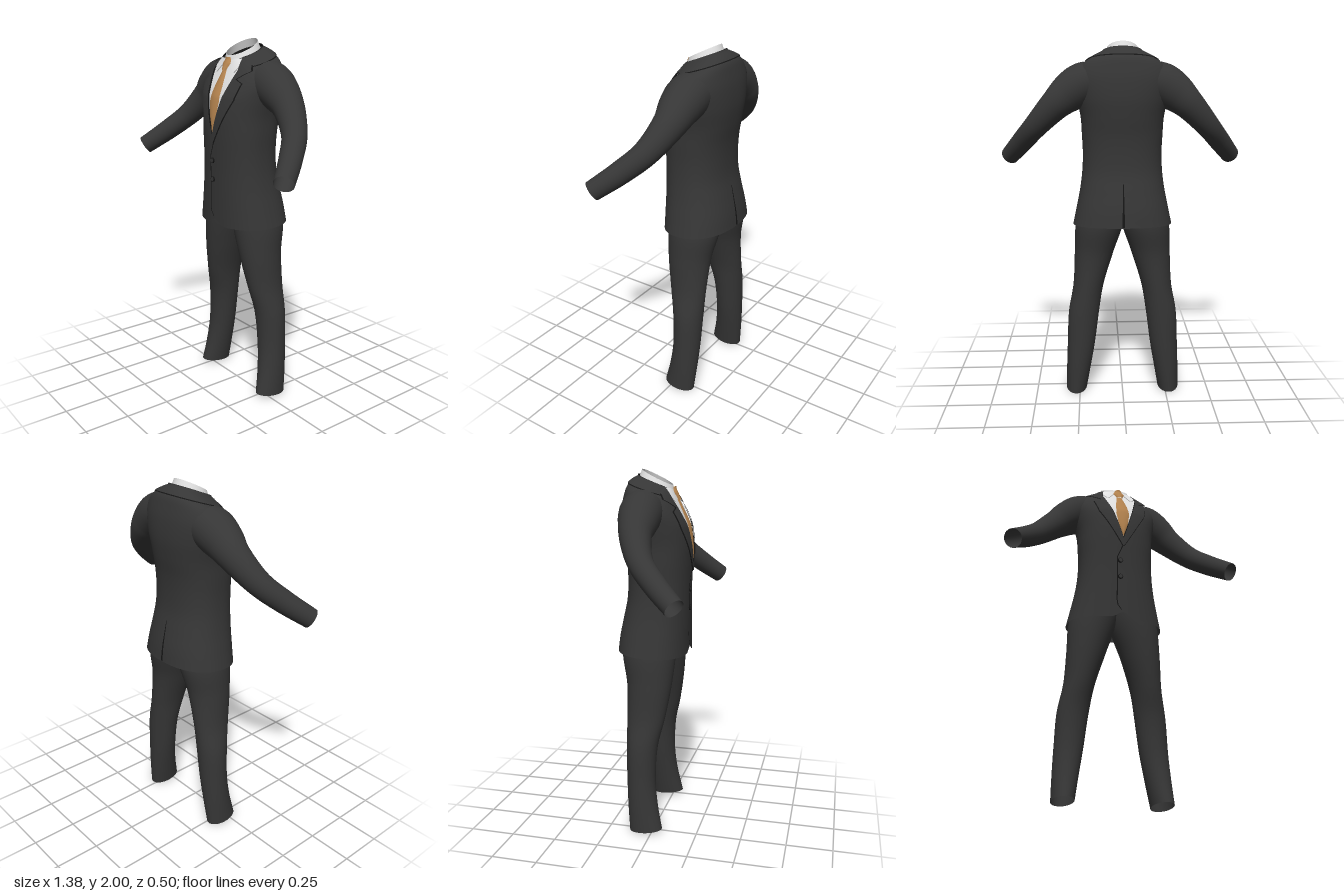
import * as THREE from 'three';
import { mergeVertices } from 'three/addons/utils/BufferGeometryUtils.js';

const paint = (name, color) => {
  const m = new THREE.MeshStandardMaterial({ color, side: THREE.DoubleSide });
  m.name = name;
  return m;
};

// Smooth interpolation of rows [key, ...values], keys ascending
function sample(rows, key) {
  const n = rows.length - 1;
  const k = THREE.MathUtils.clamp(key, rows[0][0], rows[n][0]);
  let i = 0;
  while (i < n - 1 && k > rows[i + 1][0]) i++;
  const a = rows[i], b = rows[i + 1], h = b[0] - a[0], t = (k - a[0]) / h;
  const p = rows[Math.max(i - 1, 0)], q = rows[Math.min(i + 2, n)];
  return a.slice(1).map((va, c) => {
    const j = c + 1, vb = b[j];
    const ma = (vb - p[j]) / (b[0] - p[0]) * h, mb = (q[j] - va) / (q[0] - a[0]) * h;
    const t2 = t * t, t3 = t2 * t;
    return (2 * t3 - 3 * t2 + 1) * va + (t3 - 2 * t2 + t) * ma + (3 * t2 - 2 * t3) * vb + (t3 - t2) * mb;
  });
}

// Surface from fn(u, v) -> [x, y, z]
function grid(fn, nu, nv) {
  const g = new THREE.PlaneGeometry(1, 1, nu, nv);
  const p = g.attributes.position;
  for (let i = 0; i < p.count; i++) p.setXYZ(i, ...fn(p.getX(i) + 0.5, p.getY(i) + 0.5));
  g.deleteAttribute('uv');
  g.deleteAttribute('normal');
  const m = mergeVertices(g, 1e-5);
  m.computeVertexNormals();
  return m;
}

// Jacket body sections: height, half width, front z, back z
const BODY = [
  [1.005, 0.275, 0.15, -0.245], [1.1, 0.255, 0.15, -0.235], [1.2, 0.235, 0.15, -0.215],
  [1.3, 0.222, 0.15, -0.195], [1.4, 0.218, 0.152, -0.19], [1.5, 0.222, 0.154, -0.195],
  [1.6, 0.228, 0.152, -0.21], [1.7, 0.248, 0.137, -0.22], [1.78, 0.262, 0.112, -0.215],
  [1.84, 0.245, 0.088, -0.2], [1.88, 0.205, 0.07, -0.185], [1.91, 0.15, 0.056, -0.157],
  [1.935, 0.1, 0.045, -0.125],
];
const POWER = 2.3;
const clamp01 = (v) => Math.min(1, Math.max(0, v));
// Forward lean of the neckline and hem
const lean = (y) => 0.4 * clamp01((y - 1.7) / 0.235) + 0.06 * clamp01((1.1 - y) / 0.1);
const bend = (v) => Math.sign(v) * Math.abs(v) ** (2 / POWER);

function bodyPoint(angle, y, off = 0) {
  const [w, f, b] = sample(BODY, y);
  const x = (w + off) * bend(Math.sin(angle));
  const z = (f + b) / 2 + ((f - b) / 2 + off) * bend(Math.cos(angle));
  const cut = z > 0 ? 0.035 * Math.exp(-((x / 0.04) ** 2)) * clamp01((1.1 - y) / 0.095) : 0;
  return [x, y - lean(y) * (z + 0.06) + cut, z];
}

// z of the jacket at (x, y); side 1 is the front, -1 the back
function bodyZ(x, y, side = 1) {
  let y0 = y, z = 0;
  for (let i = 0; i < 8; i++) {
    const [w, f, b] = sample(BODY, y0);
    const s = (1 - Math.min(1, Math.abs(x / w)) ** POWER) ** (1 / POWER);
    z = (f + b) / 2 + side * s * (f - b) / 2;
    y0 = y + lean(y0) * (z + 0.06);
  }
  return z;
}

// Thin panel laid on the jacket: rows of [y, x0, x1], top to bottom
function panel(rows, off, bulge = 0, side = 1) {
  const steps = 8, n = (rows.length - 1) * steps;
  return grid((u, v) => {
    const t = Math.round((1 - v) * n) / steps;
    const i = Math.min(Math.floor(t), rows.length - 2);
    const [y, a, b] = rows[i].map((r, c) => THREE.MathUtils.lerp(r, rows[i + 1][c], t - i));
    const x = a + (b - a) * u;
    return [x, y, bodyZ(x, y, side) + side * (off + bulge * (1 - (2 * u - 1) ** 2))];
  }, 12, n);
}
const mirrorRows = (rows) => rows.map(([y, a, b]) => [y, -b, -a]);
const even = (rows) => rows.map(([y, w]) => [y, -w, w]);
const widen = (rows, d) => rows.map(([y, a, b]) => [y, a - d, b + d]);

export function createModel() {
  const cloth = paint('charcoal cloth', 0x363636);
  const seam = paint('black seam', 0x151515);
  const white = paint('white shirt', 0xe2e2e2);
  const grey = paint('grey collar edge', 0x9a9a9a);
  const tan = paint('tan tie', 0xb5844f);
  const model = new THREE.Group();
  model.name = 'suit';
  const add = (name, geometry, material) => {
    const m = new THREE.Mesh(geometry, material);
    m.name = name;
    model.add(m);
    return m;
  };

  // Jacket body and the collar around the back of the neck
  add('jacketBody', grid((u, v) => bodyPoint(u * Math.PI * 2, 1.005 + v * 0.93), 112, 72), cloth);
  const collarBand = (low, off) => grid((u, v) =>
    bodyPoint(0.85 + u * (Math.PI * 2 - 1.7), low + v * (1.94 - low), off + 0.004 * v), 60, 8);
  add('jacketCollarEdge', collarBand(1.886, 0.005), seam);
  add('jacketCollar', collarBand(1.891, 0.009), cloth);

  // Sleeves: tubes with a changing radius
  const arm = [
    [0.17, 1.785, -0.07, 0.112], [0.225, 1.765, -0.068, 0.115], [0.29, 1.725, -0.065, 0.104],
    [0.36, 1.665, -0.058, 0.084], [0.475, 1.545, 0, 0.066], [0.56, 1.45, 0.095, 0.06],
    [0.645, 1.355, 0.21, 0.053],
  ];
  for (const s of [1, -1]) {
    const curve = new THREE.CatmullRomCurve3(arm.map(([x, y, z]) => new THREE.Vector3(s * x, y, z)));
    const N = 48, M = 28;
    const tube = new THREE.TubeGeometry(curve, N, 1, M);
    const p = tube.attributes.position, v = new THREE.Vector3();
    const radii = arm.map((a, i) => [i / (arm.length - 1), a[3]]);
    for (let i = 0; i < p.count; i++) {
      const u = Math.floor(i / (M + 1)) / N;
      const c = curve.getPointAt(u);
      const [r] = sample(radii, curve.getUtoTmapping(u));
      v.fromBufferAttribute(p, i).sub(c).multiplyScalar(r).add(c);
      p.setXYZ(i, v.x, v.y, v.z);
    }
    add(s > 0 ? 'leftSleeve' : 'rightSleeve', tube, cloth);
  }

  // Trouser legs: y, inner x, outer x, front z, back z
  const leg = [
    [0, 0.21, 0.33, 0.055, -0.13], [0.15, 0.185, 0.325, 0.026, -0.142], [0.3, 0.16, 0.318, 0.01, -0.15],
    [0.49, 0.135, 0.308, 0.018, -0.157], [0.65, 0.108, 0.28, 0.053, -0.16], [0.84, 0.05, 0.27, 0.083, -0.168],
    [1.03, -0.01, 0.258, 0.098, -0.2], [1.2, -0.01, 0.2, 0.09, -0.16],
  ];
  for (const s of [1, -1]) {
    add(s > 0 ? 'leftTrouserLeg' : 'rightTrouserLeg', grid((u, v) => {
      const y = v * 1.2, a = s * u * Math.PI * 2;
      const [x0, x1, f, b] = sample(leg, y);
      const x = (x0 + x1) / 2 + (x1 - x0) / 2 * Math.sin(a);
      const z = (f + b) / 2 + (f - b) / 2 * Math.cos(a);
      return [s * x, y + 0.1 * (z + 0.13) * clamp01(1 - y / 0.2), z];
    }, 40, 48), cloth);
  }

  // Shirt front and standing collar
  add('shirtFront', panel([[1.897, -0.09, 0.09], [1.84, -0.105, 0.105], [1.5, -0.001, 0.001]], 0.004), white);
  add('shirtCollar', grid((u, v) => {
    const a = u * Math.PI * 2, r = 0.1 - 0.016 * v;
    const z = -0.035 + r * Math.cos(a);
    return [r * Math.sin(a), 1.905 + 0.05 * v - 0.5 * (z + 0.035), z];
  }, 48, 4), white);

  // Shirt collar points and lapels, mirrored
  const point = [[1.897, 0.015, 0.092], [1.86, 0.042, 0.1], [1.825, 0.068, 0.078]];
  const lapel = [
    [1.905, 0.088, 0.135], [1.84, 0.105, 0.182], [1.797, 0.092, 0.115], [1.777, 0.086, 0.16],
    [1.69, 0.059, 0.138], [1.5, 0, 0.032], [1.45, -0.004, 0.003],
  ];
  for (const s of [1, -1]) {
    const side = s > 0 ? 'left' : 'right';
    const place = (rows) => (s > 0 ? rows : mirrorRows(rows));
    add(side + 'CollarPointEdge', panel(place(widen(point, 0.004)), 0.007), grey);
    add(side + 'CollarPoint', panel(place(point), 0.011), white);
    add(side + 'LapelEdge', panel(place(widen(lapel, 0.004)), 0.009), seam);
    add(side + 'Lapel', panel(place(lapel), 0.014), cloth);
  }

  // Tie
  add('tieBlade', panel(even([[1.84, 0.016], [1.75, 0.034], [1.68, 0.04], [1.6, 0.028], [1.515, 0.001]]), 0.008, 0.006), tan);
  add('tieKnot', panel(even([[1.905, 0.018], [1.872, 0.034], [1.836, 0.017]]), 0.013, 0.012), tan);

  // Front closing seam and back vent
  const closing = [[1.46, 0], [1.38, -0.033], [1.1, -0.036], [1.07, -0.032], [1.04, -0.01]];
  add('frontSeam', panel(closing.map(([y, x]) => [y, x - 0.003, x + 0.003]), 0.003), seam);
  add('backVent', panel(even([[1.25, 0.002], [1.02, 0.007]]), 0.003, 0, -1), seam);

  // Buttons
  for (const y of [1.355, 1.25]) {
    for (const [name, r, d, mat] of [['buttonRim', 0.015, 0.01, seam], ['button', 0.011, 0.014, cloth]]) {
      const b = add(name, new THREE.CylinderGeometry(r, r, d, 20), mat);
      b.rotation.x = Math.PI / 2;
      b.position.set(-0.016, y, bodyZ(-0.016, y) + 0.002);
    }
  }
  return model;
}
